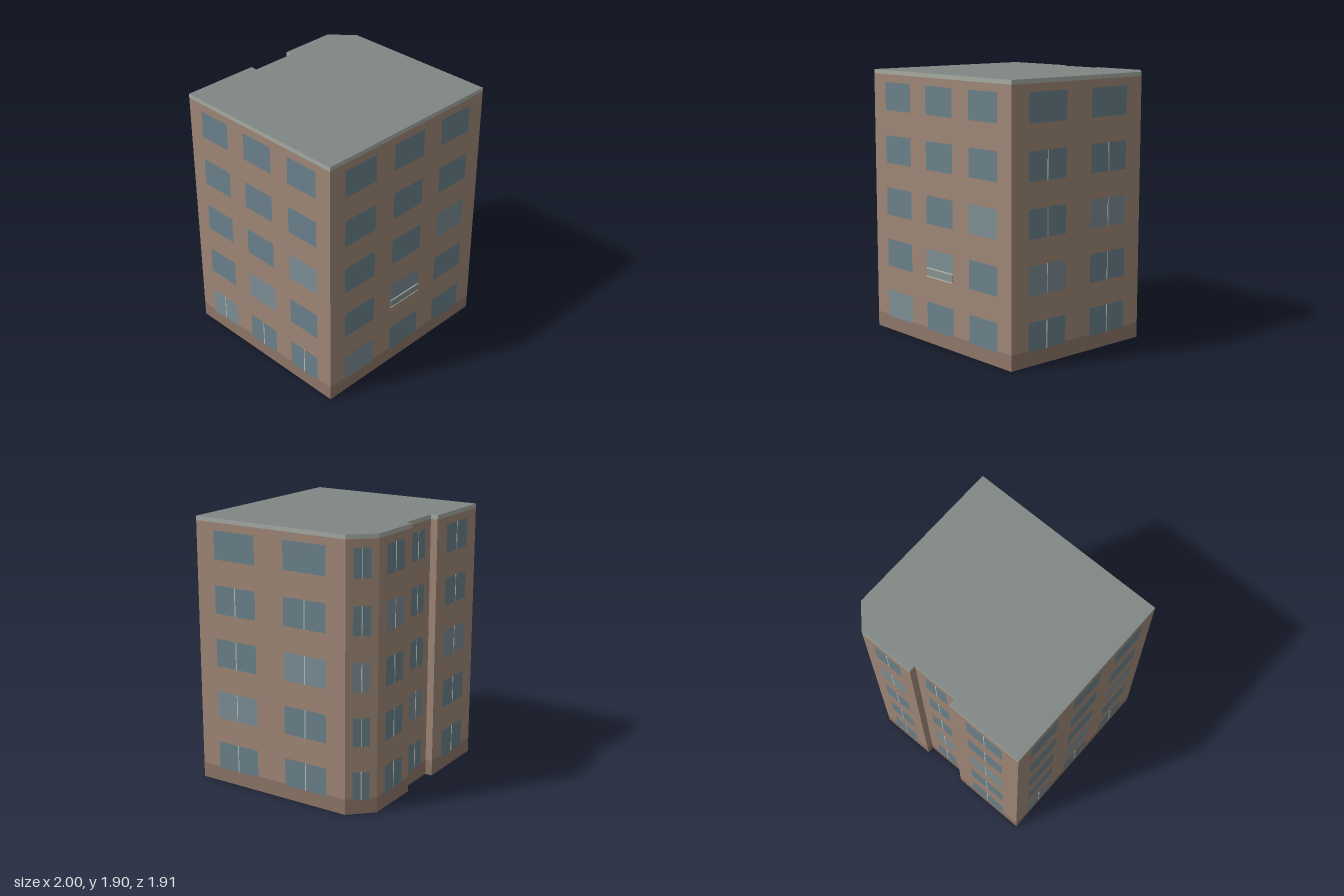
import * as THREE from 'three';

const mat = (color) => new THREE.MeshStandardMaterial({ color });

// Footprint corners (x, z), and the windows on the wall that starts at each corner:
// cols = windows per floor, fill = share of the wall that is glass,
// bars = floors with a centre bar, lit = floor of the first paler pane
const WALLS = [
  { at: [-1.0, 0.064], cols: 3, fill: 0.582, bars: 1, lit: 0 },
  { at: [0.032, 0.955], cols: 3, fill: 0.582, bars: 0, lit: 0, railing: true },
  { at: [1.0, -0.174], cols: 2, fill: 0.56, bars: 4, lit: 1 },
  { at: [0.08, -0.96], cols: 1, fill: 0.53, bars: 5, lit: 2 },
  { at: [-0.138, -0.945], cols: 1, fill: 0.53, bars: 5, lit: 3 },
  { at: [-0.408, -0.628], cols: 0 },
  { at: [-0.37, -0.595], cols: 1, fill: 0.53, bars: 5, lit: 1 },
  { at: [-0.59, -0.335], cols: 0 },
  { at: [-0.63, -0.37], cols: 1, fill: 0.53, bars: 5, lit: 2 },
];
const FLOORS = 5, FLOOR_STEP = 0.38, SILL = 0.1, WINDOW_H = 0.2;
const PLINTH_TOP = 0.11, CORNICE_BOTTOM = 1.875, TOP = 1.905;

export function createModel() {
  const model = new THREE.Group();
  model.name = 'apartmentBlock';

  const mats = {
    wall: mat(0x9f8777), plinth: mat(0x8e7668), cornice: mat(0xa6aba3), roof: mat(0x7f8683),
    glass: mat(0x6a808a), litGlass: mat(0x7b8e95), bar: mat(0xb9bdb6), panel: mat(0x84938f),
  };

  const add = (parent, name, geometry, material, x, y, z = 0) => {
    const mesh = new THREE.Mesh(geometry, material);
    mesh.name = name;
    mesh.position.set(x, y, z);
    parent.add(mesh);
  };

  // Each wall is built flat, x along the wall and z outward, then turned into place
  WALLS.forEach((wall, i) => {
    const [x0, z0] = wall.at;
    const [x1, z1] = WALLS[(i + 1) % WALLS.length].at;
    const length = Math.hypot(x1 - x0, z1 - z0);
    const side = new THREE.Group();
    side.name = `wall${i + 1}`;
    side.position.set(x0, 0, z0);
    side.rotation.y = Math.atan2(z0 - z1, x1 - x0);
    model.add(side);

    // Plinth, masonry and cornice bands
    const band = (name, bottom, top, material) =>
      add(side, name, new THREE.PlaneGeometry(length, top - bottom), material, length / 2, (bottom + top) / 2);
    band('plinth', 0, PLINTH_TOP, mats.plinth);
    band('masonry', PLINTH_TOP, CORNICE_BOTTOM, mats.wall);
    band('cornice', CORNICE_BOTTOM, TOP, mats.cornice);

    // Windows: evenly spaced with equal gaps between them, half-style margins at the ends
    const width = (wall.fill * length) / wall.cols;
    const pitch = wall.cols === 3 ? 0.311 * length : 0.473 * length;
    for (let col = 0; col < wall.cols; col++) {
      const x = length / 2 + (col - (wall.cols - 1) / 2) * pitch;
      for (let floor = 0; floor < FLOORS; floor++) {
        const y = SILL + floor * FLOOR_STEP + WINDOW_H / 2;
        const glass = floor === col + wall.lit ? mats.litGlass : mats.glass;
        add(side, 'window', new THREE.PlaneGeometry(width, WINDOW_H), glass, x, y, 0.002);
        if (floor < wall.bars) {
          add(side, 'windowBar', new THREE.BoxGeometry(0.008, WINDOW_H, 0.004), mats.bar, x, y, 0.002);
        }
      }
    }

    // Shallow railing in front of the middle window on the second floor
    if (wall.railing) {
      const x = length / 2;
      add(side, 'railingPanel', new THREE.BoxGeometry(width, 0.055, 0.004), mats.panel, x, 0.515, 0.003);
      for (const y of [0.485, 0.545]) {
        add(side, 'railingBar', new THREE.BoxGeometry(width, 0.007, 0.008), mats.bar, x, y, 0.004);
      }
    }
  });

  // Flat roof and underside follow the footprint
  const slab = (name, flip, y, material) => {
    const shape = new THREE.Shape(WALLS.map(({ at: [x, z] }) => new THREE.Vector2(x, flip * z)));
    const geometry = new THREE.ShapeGeometry(shape).rotateX((flip * Math.PI) / 2);
    add(model, name, geometry, material, 0, y);
  };
  slab('roof', -1, TOP, mats.roof);
  slab('base', 1, 0, mats.wall);

  return model;
}
